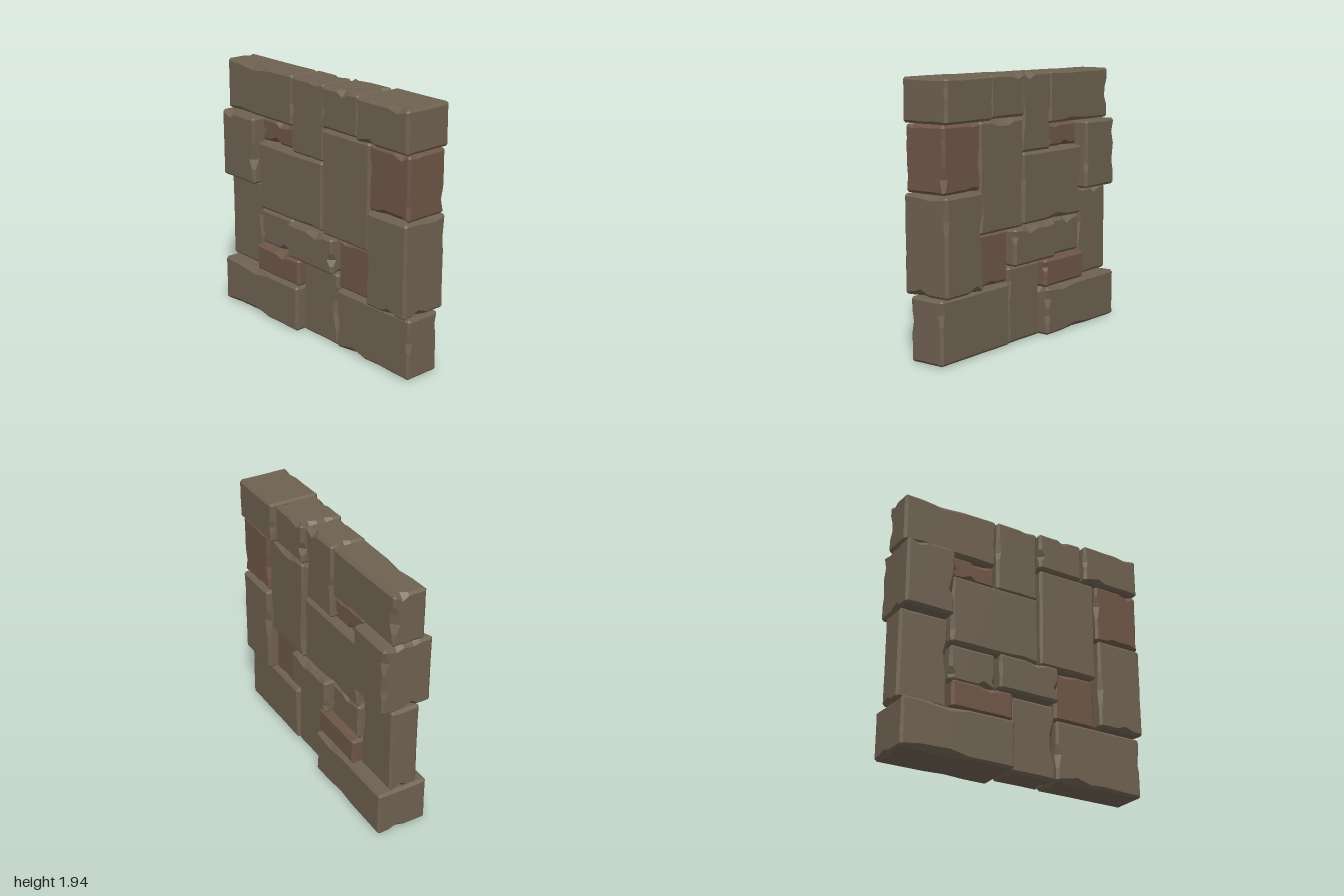
import * as THREE from 'three';

// small seeded random source
function seeded(seed) {
  let s = seed * 7919 + 17;
  return () => {
    s = (s * 16807) % 2147483647;
    return s / 2147483647;
  };
}

const N = 7; // grid steps along each side of a stone

// Box whose edges are chamfered, with random chips along them
function stoneGeometry(size, seed) {
  const rand = seeded(seed);
  for (let i = 0; i < 5; i++) rand();
  const chamfer = 0.017;
  const geo = new THREE.BoxGeometry(1, 1, 1, N, N, N);
  const pos = geo.attributes.position;

  // uneven spacing of the inner grid lines
  const lines = [0, 1, 2].map(() =>
    Array.from({ length: N + 1 }, (_, i) => (i - 1) / (N - 2) + (rand() - 0.5) * 0.1));

  // chamfer width for each edge and place along it
  const widths = new Map();
  const widthAt = (key) => {
    if (!widths.has(key)) widths.set(key, chamfer + (rand() < 0.16 ? 0.01 + rand() * 0.025 : rand() * 0.004));
    return widths.get(key);
  };

  for (let v = 0; v < pos.count; v++) {
    const idx = [0, 1, 2].map((a) => Math.round((pos.getComponent(v, a) + 0.5) * N));
    const near = idx.map((i) => (i <= 1 ? -1 : i >= N - 1 ? 1 : 0));
    const outer = idx.map((i) => i === 0 || i === N);
    const nearCount = near.filter((n) => n).length;
    const outerCount = outer.filter((o) => o).length;
    const key = near.join() + idx.map((i, a) => (near[a] ? '' : i)).join('_');
    const w = nearCount === 2 ? widthAt(key) : chamfer;
    for (let a = 0; a < 3; a++) {
      let p;
      if (near[a]) {
        const inset = outer[a] ? [0, 0, w / 2, w * 0.67][outerCount] : w;
        p = near[a] * (size[a] / 2 - inset);
      } else {
        p = (lines[a][idx[a]] - 0.5) * (size[a] - 2 * chamfer);
      }
      pos.setComponent(v, a, p);
    }
  }
  geo.computeVertexNormals();
  return geo;
}

// Each stone: z from, z to, y from, y to, half thickness, reddish
const STONES = [
  // top course
  [0.505, 1.0, 1.635, 1.94, 0.195],
  [0.115, 0.495, 1.64, 1.94, 0.165],
  [-0.24, 0.11, 1.375, 1.94, 0.135],
  [-1.0, -0.245, 1.56, 1.94, 0.125],
  // upper middle
  [0.615, 1.0, 1.17, 1.63, 0.17, true],
  [0.12, 0.61, 0.85, 1.63, 0.16],
  [-0.61, -0.245, 1.385, 1.555, 0.105, true],
  [-1.0, -0.62, 1.04, 1.555, 0.19],
  [-0.615, 0.11, 0.855, 1.375, 0.148],
  // lower middle
  [0.615, 1.0, 0.47, 1.16, 0.19],
  [0.26, 0.61, 0.47, 0.845, 0.12, true],
  [-0.24, 0.255, 0.575, 0.845, 0.187],
  [-0.61, -0.245, 0.575, 0.845, 0.13],
  [-1.0, -0.62, 0.365, 1.035, 0.11],
  // bottom course
  [0.26, 1.0, 0.005, 0.46, 0.14],
  [-0.12, 0.255, 0.005, 0.565, 0.125],
  [-0.615, -0.125, 0.36, 0.565, 0.175, true],
  [-1.0, -0.125, 0.0, 0.355, 0.195],
];

export function createModel() {
  const wall = new THREE.Group();
  wall.name = 'stoneWall';
  const greyStone = new THREE.MeshStandardMaterial({ color: 0x6e6150, flatShading: true });
  const redStone = new THREE.MeshStandardMaterial({ color: 0x6e5646, flatShading: true });

  STONES.forEach(([z0, z1, y0, y1, half, red], i) => {
    const stone = new THREE.Mesh(stoneGeometry([half * 2, y1 - y0, z1 - z0], i + 1), red ? redStone : greyStone);
    stone.name = (red ? 'redStone' : 'greyStone') + (i + 1);
    stone.position.set(0, (y0 + y1) / 2, (z0 + z1) / 2);
    wall.add(stone);
  });

  // the wall stands slightly turned
  wall.rotation.y = 0.02;
  const model = new THREE.Group();
  model.name = 'wall';
  model.add(wall);
  return model;
}
